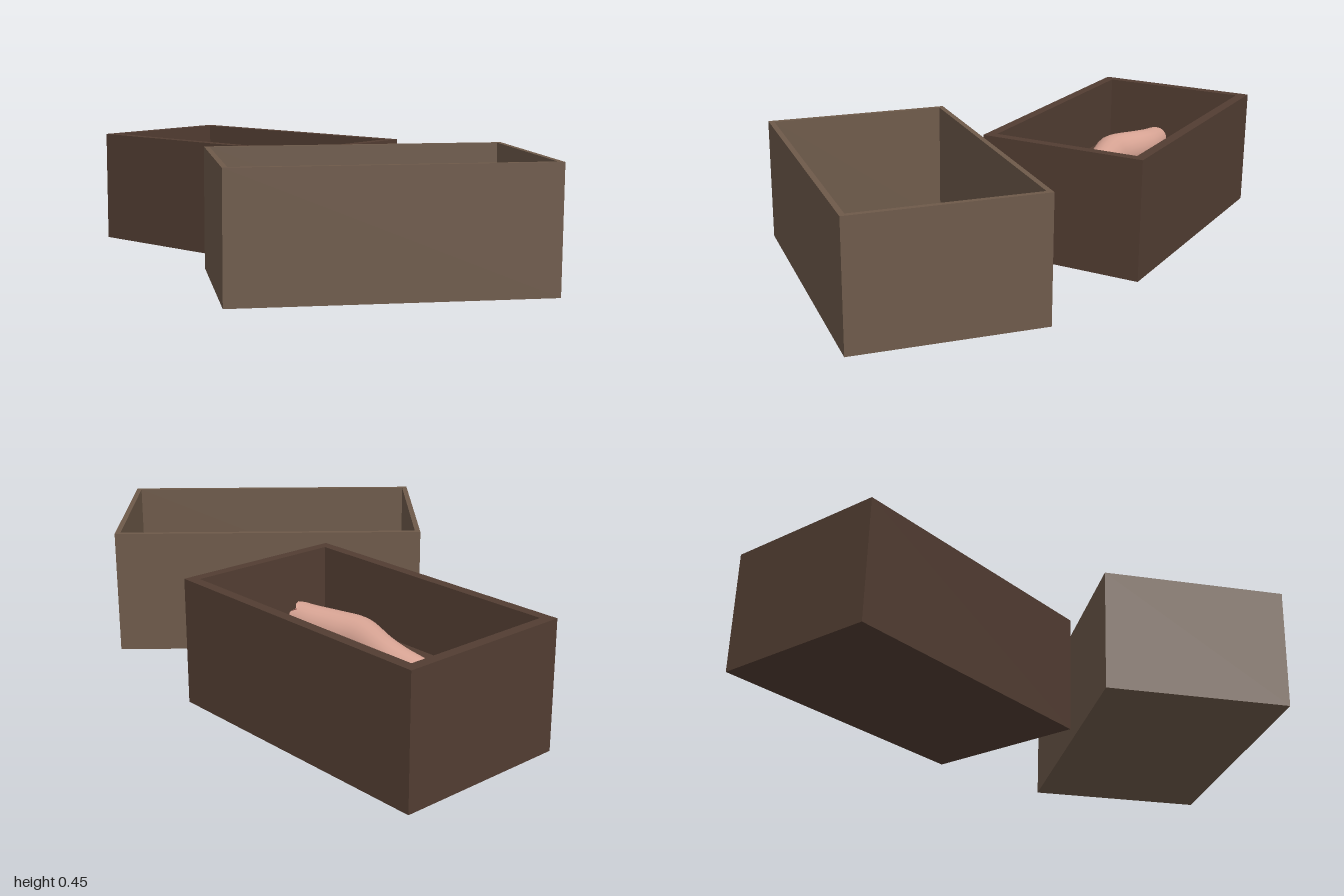
import * as THREE from 'three';

const mat = (color, extra = {}) => new THREE.MeshStandardMaterial({ color, ...extra });

// Open-topped box standing on y = 0: a wall frame plus a floor slab
function openBox(name, w, d, h, wall, floor, color) {
  const g = new THREE.Group();
  g.name = name;
  const m = mat(color);
  const rect = (C, a, b) => {
    const p = new C();
    p.moveTo(-a, -b); p.lineTo(a, -b); p.lineTo(a, b); p.lineTo(-a, b); p.closePath();
    return p;
  };
  const shape = rect(THREE.Shape, w / 2, d / 2);
  shape.holes.push(rect(THREE.Path, w / 2 - wall, d / 2 - wall));
  const walls = new THREE.Mesh(
    new THREE.ExtrudeGeometry(shape, { depth: h, bevelEnabled: false }).rotateX(-Math.PI / 2), m);
  walls.name = name + 'Walls';
  const base = new THREE.Mesh(new THREE.BoxGeometry(w - 2 * wall, floor, d - 2 * wall), m);
  base.position.y = floor / 2;
  base.name = name + 'Floor';
  g.add(walls, base);
  return g;
}

// Skin a list of closed rings (arrays of Vector3) with smooth normals
function loft(rings) {
  const n = rings[0].length, index = [];
  for (let i = 0; i < rings.length - 1; i++) {
    for (let j = 0; j < n; j++) {
      const a = i * n + j, b = i * n + (j + 1) % n;
      index.push(a, b, a + n, b, b + n, a + n);
    }
  }
  const geo = new THREE.BufferGeometry().setFromPoints(rings.flat());
  geo.setIndex(index);
  geo.computeVertexNormals();
  return geo;
}

const SIDES = 20;
const ring = (c, rx, ry, jag = () => 0) => Array.from({ length: SIDES }, (_, j) => {
  const a = (j / SIDES) * Math.PI * 2;
  return new THREE.Vector3(c.x + rx * Math.cos(a), c.y + ry * Math.sin(a), c.z + jag(j));
});

function createArm() {
  const g = new THREE.Group();
  g.name = 'arm';
  // Stations from the rounded tip to the torn end: x, y, z, half width, half height
  const stations = [
    [0.364, 0.262, -0.81, 0.002, 0.002],
    [0.364, 0.262, -0.802, 0.024, 0.024],
    [0.363, 0.262, -0.775, 0.041, 0.043],
    [0.367, 0.265, -0.68, 0.051, 0.055],
    [0.358, 0.268, -0.6, 0.056, 0.063],
    [0.328, 0.275, -0.47, 0.065, 0.069],
    [0.34, 0.28, -0.38, 0.06, 0.064],
    [0.36, 0.285, -0.29, 0.055, 0.058],
    [0.368, 0.287, -0.235, 0.054, 0.056],
  ];
  const path = new THREE.CatmullRomCurve3(stations.map(s => new THREE.Vector3(s[0], s[1], s[2])), false, 'catmullrom');
  const radii = new THREE.SplineCurve(stations.map(s => new THREE.Vector2(s[3], s[4])));
  const jag = j => [0.012, -0.004, 0.004, -0.014, 0.006][j % 5];
  const STEPS = 40, rings = [];
  for (let i = 0; i <= STEPS; i++) {
    const r = radii.getPoint(i / STEPS);
    rings.push(ring(path.getPoint(i / STEPS), r.x, r.y, i === STEPS ? jag : undefined));
  }
  const skin = new THREE.Mesh(loft(rings), mat(0xd9a595, { side: THREE.DoubleSide }));
  skin.name = 'armSkin';

  // Torn flesh closing the cut end
  const end = path.getPoint(1);
  const inner = end.clone().setZ(end.z - 0.012);
  const flesh = new THREE.Mesh(loft([
    rings[STEPS],
    ring(inner, 0.036, 0.038, j => -0.5 * jag(j)),
    ring(end, 0.016, 0.017, j => 0.6 * jag(j)),
    ring(end, 0.0005, 0.0005),
  ]), mat(0x5e1518, { side: THREE.DoubleSide, flatShading: true }));
  flesh.name = 'tornEnd';
  g.add(skin, flesh);
  return g;
}

export function createModel() {
  const model = new THREE.Group();
  model.name = 'boxWithArm';

  const box = openBox('box', 0.59, 1.01, 0.42, 0.035, 0.18, 0x523d32);
  box.position.set(0.345, 0, -0.495);

  // Thin-walled lid lying open side up next to the box
  const lid = openBox('lid', 1.054, 0.638, 0.425, 0.018, 0.05, 0x6e5a4a);
  lid.position.set(-0.03, 0.02, 0.413);
  lid.rotation.y = -0.702;

  model.add(box, lid, createArm());
  return model;
}
